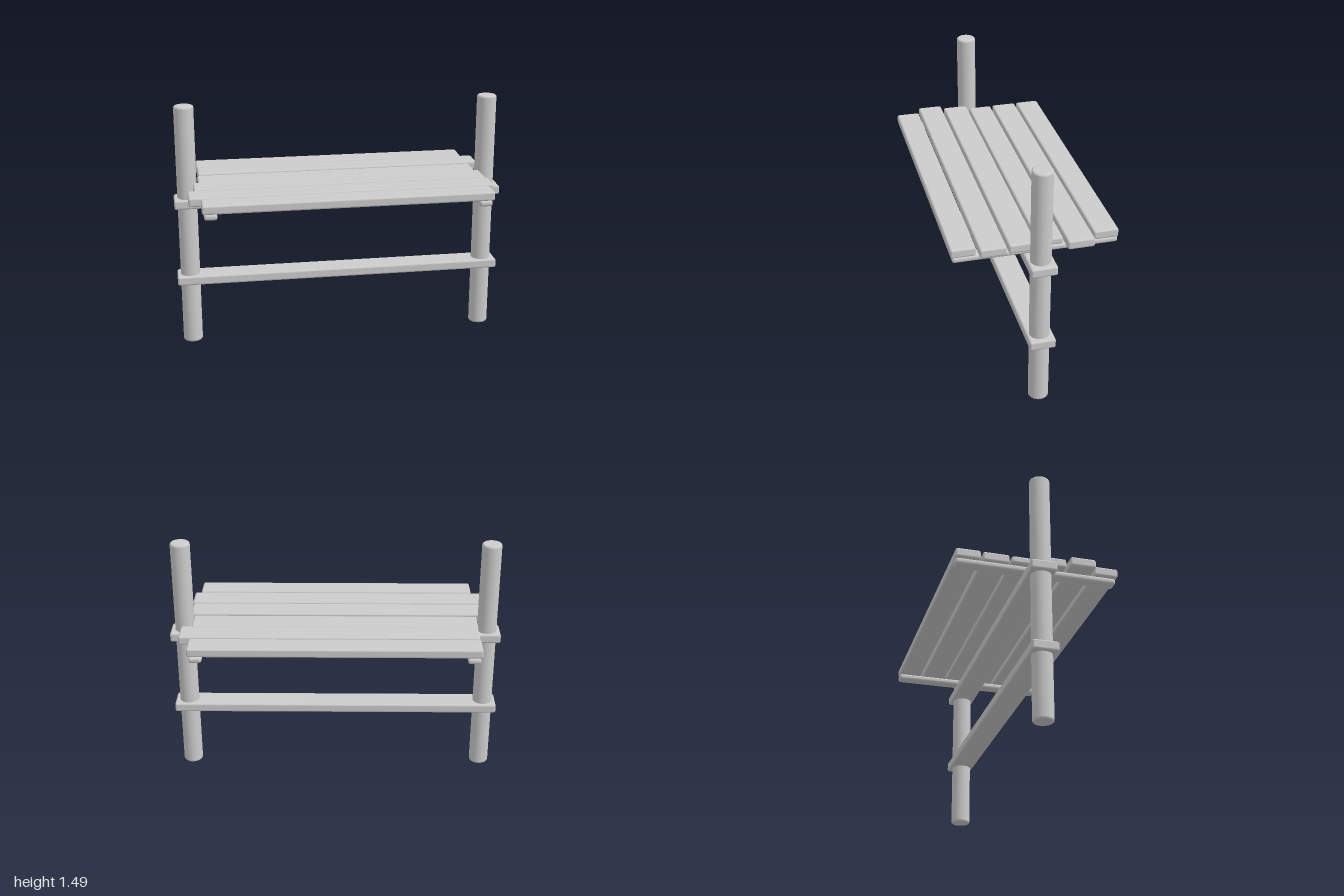
import * as THREE from 'three';
import { RoundedBoxGeometry } from 'three/addons/geometries/RoundedBoxGeometry.js';

const material = new THREE.MeshStandardMaterial({ color: 0xcccccc });

// Soft-edged timber given by its extents on each axis
function timber(name, [x0, x1], [y0, y1], [z0, z1], radius = 0.012) {
  const geometry = new RoundedBoxGeometry(x1 - x0, y1 - y0, z1 - z0, 2, radius);
  const mesh = new THREE.Mesh(geometry, material);
  mesh.position.set((x0 + x1) / 2, (y0 + y1) / 2, (z0 + z1) / 2);
  mesh.name = name;
  return mesh;
}

// Round post with rounded rims; closely spaced points keep caps and sides crisp
function post(name, x, z, radius, height) {
  const b = 0.012;
  const rim = [];
  for (let i = 0; i <= 3; i++) {
    const a = (i / 3) * Math.PI / 2;
    rim.push([radius - b + b * Math.sin(a), b - b * Math.cos(a)]);
  }
  const half = [[0, 0], [radius - b - 0.001, 0], ...rim, [radius, b + 0.001]];
  const profile = [...half, ...half.map(([r, y]) => [r, height - y]).reverse()];
  const geometry = new THREE.LatheGeometry(profile.map(([r, y]) => new THREE.Vector2(r, y)), 32);
  const mesh = new THREE.Mesh(geometry, material);
  mesh.position.set(x, 0, z);
  mesh.name = name;
  return mesh;
}

export function createModel() {
  const model = new THREE.Group();
  model.name = 'plankTable';

  // Two tall posts
  model.add(post('leftPost', 0.915, -0.01, 0.059, 1.493));
  model.add(post('rightPost', -0.92, -0.01, 0.059, 1.493));

  // Long rails joining the posts
  model.add(timber('lowerRail', [-1, 1], [0.385, 0.442], [-0.086, 0.065]));
  model.add(timber('upperRail', [-1, 1], [0.873, 0.93], [-0.086, 0.065]));

  // Cross battens under the top
  for (const side of [-1, 1]) {
    model.add(timber(side > 0 ? 'leftBatten' : 'rightBatten',
      [side * 0.803 - 0.038, side * 0.803 + 0.038], [0.932, 0.968], [-0.475, 0.465], 0.015));
  }

  // Uneven planks, back to front: x extent, z extent, y extent
  const thick = [0.97, 1.024];
  const planks = [
    [[-0.85, 0.85], [-0.475, -0.331], thick],
    [[-0.847, 0.915], [-0.318, -0.165], thick],
    [[-0.852, 0.855], [-0.154, -0.008], [0.977, 1.019]],
    [[-0.884, 0.877], [0.005, 0.157], thick],
    [[-0.922, 0.885], [0.17, 0.32], thick],
    [[-0.852, 0.85], [0.333, 0.475], thick],
  ];
  planks.forEach(([x, z, y], i) => model.add(timber(`plank${i + 1}`, x, y, z)));

  return model;
}
